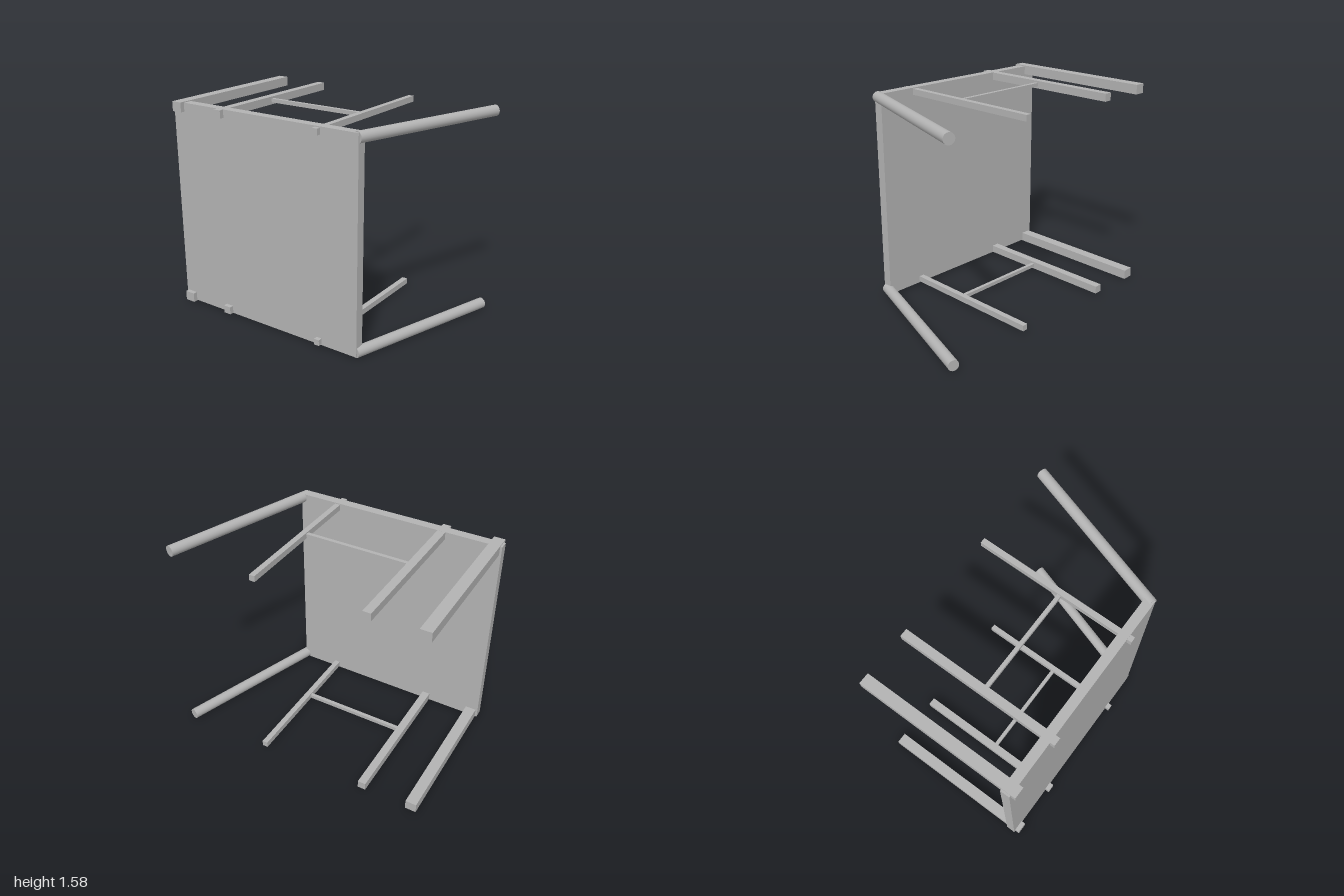
import * as THREE from 'three';

export function createModel() {
  const model = new THREE.Group();
  model.name = 'sideTippedTable';
  const grey = new THREE.MeshStandardMaterial({ color: 0xb2b2b2 });
  grey.name = 'plain grey';

  const add = (parent, name, geometry, x, y, z) => {
    const mesh = new THREE.Mesh(geometry, grey);
    mesh.name = name;
    mesh.position.set(x, y, z);
    parent.add(mesh);
    return mesh;
  };
  const box = (parent, name, x0, x1, y, h, z0, z1) =>
    add(parent, name, new THREE.BoxGeometry(x1 - x0, h, z1 - z0), (x0 + x1) / 2, y, (z0 + z1) / 2);

  // Large upright panel
  box(model, 'panel', -1, 0.59, 0.797, 1.565, 0.51, 0.58);

  // Identical frames along the bottom and top edges of the panel
  for (const [side, y] of [['lower', 0.045], ['upper', 1.55]]) {
    const frame = new THREE.Group();
    frame.name = side + 'Frame';
    model.add(frame);

    // Square bars passing through the panel, thick to thin
    box(frame, 'thickBar', -0.985, -0.903, y, 0.072, -0.605, 0.613);
    box(frame, 'middleBar', -0.585, -0.525, y, 0.058, -0.605, 0.613);
    box(frame, 'thinBar', 0.258, 0.3, y, 0.044, -0.605, 0.613);

    // Slim rail between the two thinner bars
    box(frame, 'crossRail', -0.53, 0.262, y, 0.028, 0.03, 0.058);

    // Splayed round leg
    const start = new THREE.Vector3(0.573, y - 0.002, 0.567);
    const end = new THREE.Vector3(0.957, y - 0.002, -0.604);
    const along = end.clone().sub(start);
    const mid = start.clone().add(end).multiplyScalar(0.5);
    const leg = add(frame, 'roundLeg', new THREE.CylinderGeometry(0.04, 0.04, along.length(), 24), mid.x, mid.y, mid.z);
    leg.quaternion.setFromUnitVectors(new THREE.Vector3(0, 1, 0), along.normalize());
  }
  return model;
}
